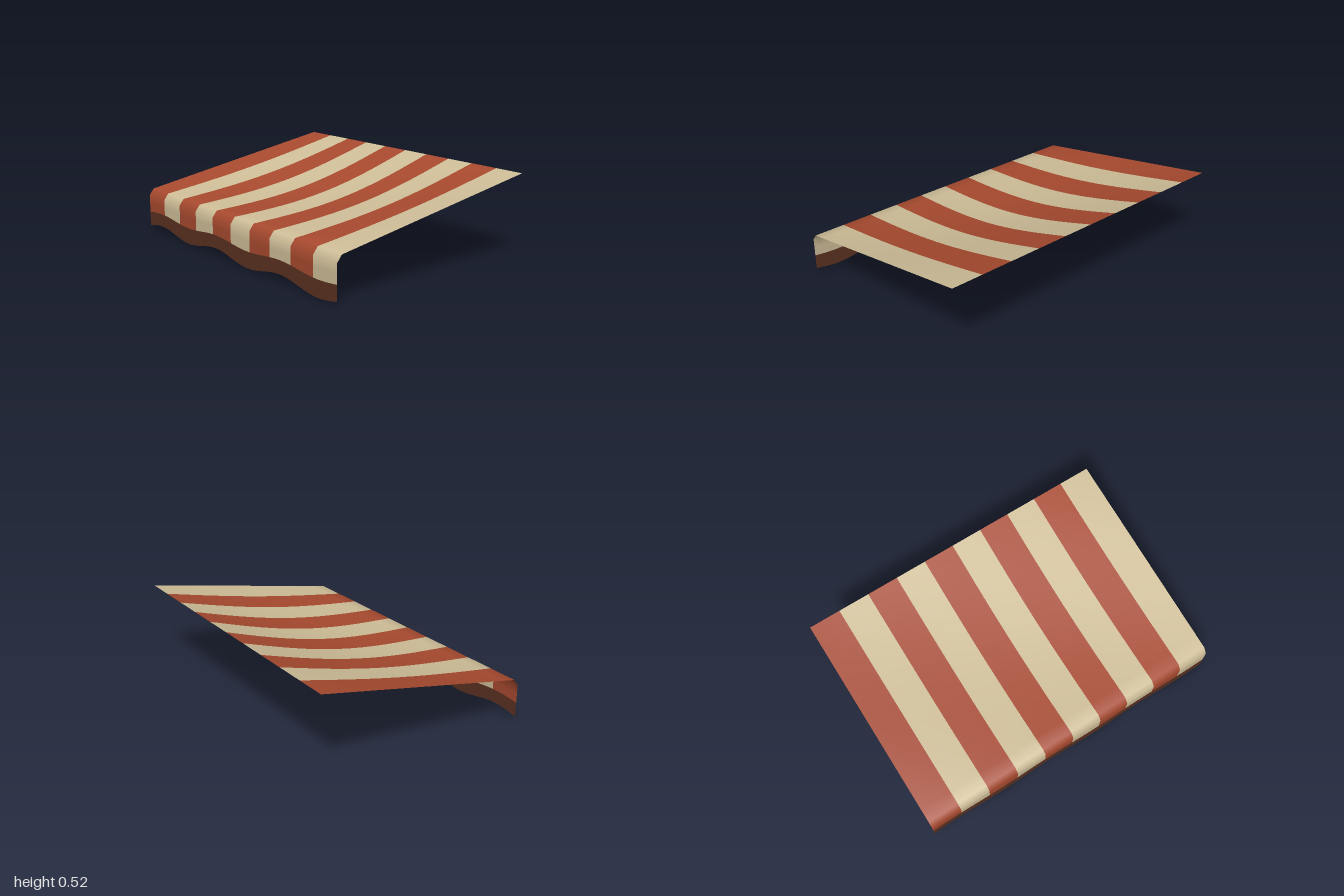
import * as THREE from 'three';

const COLS = 60, STRIPES = 10, CANOPY_ROWS = 16;
const VALANCE = [0, 0.28, 0.555, 0.78, 1]; // fractions down the hanging flap
const TRIM_START = 0.555;

const material = (name, color) => {
  const m = new THREE.MeshStandardMaterial({ color, side: THREE.DoubleSide });
  m.name = name;
  return m;
};

// Cloth point: u runs across the width, row runs from the back edge to the hem
function clothPoint(u, row) {
  const x = 2 * u - 1;
  if (row <= CANOPY_ROWS) { // sloping canopy, sagging between its straight edges
    const t = row / CANOPY_ROWS;
    const sag = 0.062 * Math.sin(Math.PI * t) * Math.sin(Math.PI * u);
    return [x, 0.525 - 0.255 * t - sag, -0.68 + 1.33 * t];
  }
  // hanging valance with a wavy hem
  const f = VALANCE[row - CANOPY_ROWS - 1];
  const hem = 0.026 + 0.0215 * Math.sin(6 * Math.PI * u);
  return [x, 0.23 + (hem - 0.23) * f, 0.68];
}

export function createModel() {
  const group = new THREE.Group();
  group.name = 'awning';
  const red = material('brick red cloth', 0xa84a2f);
  const cream = material('cream cloth', 0xcfbe98);
  const brown = material('brown trim', 0x5c3222);

  // One cloth grid, sorted into named parts that share its smooth normals
  const rows = CANOPY_ROWS + VALANCE.length;
  const positions = [], all = [];
  const parts = {
    canopyRedStripes: { mat: red, index: [] },
    canopyCreamStripes: { mat: cream, index: [] },
    valanceRedStripes: { mat: red, index: [] },
    valanceCreamStripes: { mat: cream, index: [] },
    valanceTrim: { mat: brown, index: [] },
  };
  for (let r = 0; r <= rows; r++)
    for (let c = 0; c <= COLS; c++) positions.push(...clothPoint(c / COLS, r));

  for (let r = 0; r < rows; r++) {
    const flapRow = r - CANOPY_ROWS - 1;
    const isTrim = flapRow >= 0 && VALANCE[flapRow] >= TRIM_START;
    for (let c = 0; c < COLS; c++) {
      const a = r * (COLS + 1) + c, b = a + 1, d = a + COLS + 1, e = d + 1;
      const quad = [a, d, b, b, d, e];
      const shade = Math.floor(c * STRIPES / COLS) % 2 ? 'Cream' : 'Red';
      const name = isTrim ? 'valanceTrim' : `${r < CANOPY_ROWS ? 'canopy' : 'valance'}${shade}Stripes`;
      parts[name].index.push(...quad);
      all.push(...quad);
    }
  }

  const cloth = new THREE.BufferGeometry();
  cloth.setAttribute('position', new THREE.Float32BufferAttribute(positions, 3));
  cloth.setIndex(all);
  cloth.computeVertexNormals();

  for (const [name, { mat, index }] of Object.entries(parts)) {
    const geometry = new THREE.BufferGeometry();
    geometry.setAttribute('position', cloth.attributes.position);
    geometry.setAttribute('normal', cloth.attributes.normal);
    geometry.setIndex(index);
    const mesh = new THREE.Mesh(geometry, mat);
    mesh.name = name;
    group.add(mesh);
  }
  return group;
}
